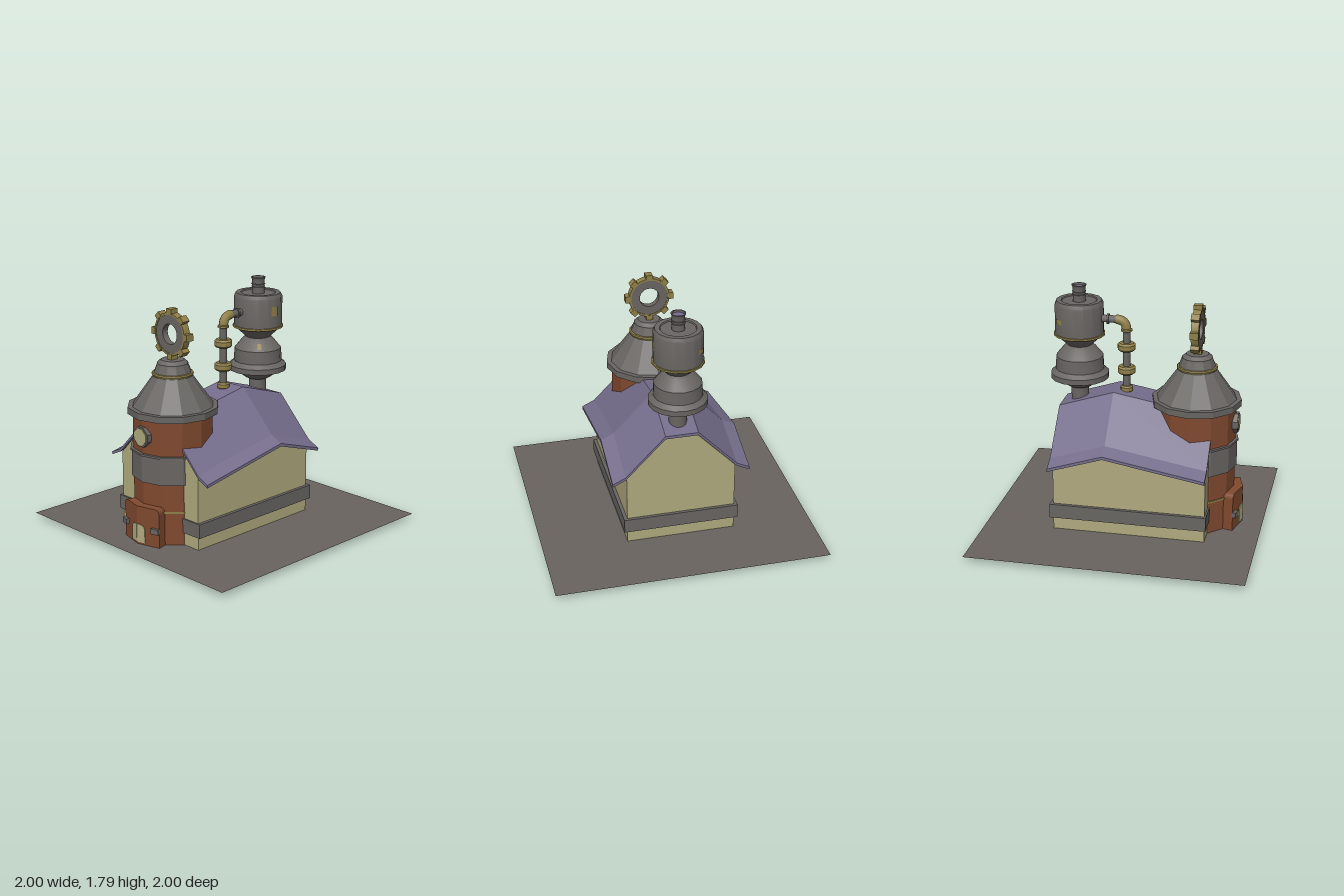
import * as THREE from 'three';
import { toCreasedNormals } from 'three/addons/utils/BufferGeometryUtils.js';

const mat = (name, color, side = THREE.DoubleSide) => new THREE.MeshStandardMaterial({ name, color, side });

export function createModel() {
  const root = new THREE.Group();
  root.name = 'workshopHouse';
  const cream = mat('cream plaster', 0xb0aa7e);
  const purple = mat('purple roof', 0x756d8b);
  const brown = mat('copper brown', 0x80492f);
  const grey = mat('iron grey', 0x686562);
  const gold = mat('brass', 0x8f7f48);
  const soil = mat('ground', 0x68635e);

  const add = (name, geo, m, x = 0, y = 0, z = 0, parent = root) => {
    const mesh = new THREE.Mesh(geo, m);
    mesh.name = name;
    mesh.position.set(x, y, z);
    parent.add(mesh);
    return mesh;
  };
  const box = (name, w, h, d, m, x, y, z, parent) => add(name, new THREE.BoxGeometry(w, h, d), m, x, y, z, parent);
  // turned part from [radius, height] points, with sharp edges kept
  const turn = (name, pts, sides, m, x, z, crease = 0.5, parent = root) => add(name,
    toCreasedNormals(new THREE.LatheGeometry(pts.map(p => new THREE.Vector2(...p)), sides), crease), m, x, 0, z, parent);
  // closed [x, y] section carried through stations [z, yDrop], capped at both ends;
  // points marked fixed do not drop
  const loft = (name, section, stations, m) => {
    const v = [];
    const at = (i, s) => {
      const [x, y, fixed] = section[i % section.length];
      return [x, y - (fixed ? 0 : s[1]), s[0]];
    };
    for (let k = 0; k + 1 < stations.length; k++) {
      const a = stations[k], b = stations[k + 1];
      section.forEach((_, i) => {
        const p = at(i, a), q = at(i + 1, a), r = at(i + 1, b), t = at(i, b);
        v.push(...p, ...q, ...r, ...p, ...r, ...t);
      });
    }
    const faces = THREE.ShapeUtils.triangulateShape(section.map(p => new THREE.Vector2(p[0], p[1])), []);
    const first = stations[0], last = stations[stations.length - 1];
    for (const [a, b, c] of faces) {
      v.push(...at(a, first), ...at(c, first), ...at(b, first));
      v.push(...at(a, last), ...at(b, last), ...at(c, last));
    }
    const g = new THREE.BufferGeometry();
    g.setAttribute('position', new THREE.Float32BufferAttribute(v, 3));
    g.computeVertexNormals();
    return add(name, g, m, -0.02);
  };

  // ground
  add('ground', new THREE.PlaneGeometry(2, 2).rotateX(-Math.PI / 2), soil, 0, 0.04, 0);

  // house: walls and roof both rise to a hump at z = -0.1
  loft('walls', [[-0.4, 0.04, true], [0.4, 0.04, true], [0.4, 0.71], [0.12, 1.0], [-0.12, 1.0], [-0.4, 0.71]],
    [[-0.49, 0.13], [-0.1, 0], [0.625, 0.13]], cream);
  const half = [[0.505, 0.685], [0.41, 0.73], [0.12, 1.03]];
  const top = [...half, ...half.map(([x, y]) => [-x, y]).reverse()];
  const under = [...top].reverse().map(([x, y]) => [x, y - 0.022]);
  loft('roof', [...top, ...under], [[-0.505, 0.13], [-0.1, 0], [0.635, 0.13]], purple);
  box('wallBand', 0.85, 0.105, 1.15, grey, -0.02, 0.188, 0.062);

  // tower
  const tx = -0.015, tz = 0.49, N = 12;
  [[-1, 1, brown], [1, 2, purple], [2, 3, cream], [3, 4, gold], [4, 5, brown]].forEach(([a, b, m]) => {
    const s = Math.PI / 3;
    add('towerFoot', new THREE.CylinderGeometry(0.29, 0.29, 0.04, 2 * (b - a), 1, false, a * s, (b - a) * s), m, tx, 0.02, tz);
  });
  turn('towerBody', [[0.29, 0.03], [0.29, 0.96]], N, brown, tx, tz);
  turn('towerBand', [[0.28, 0.49], [0.303, 0.49], [0.303, 0.685], [0.312, 0.685], [0.312, 0.7], [0.28, 0.7]], N, grey, tx, tz, 0.4);
  turn('towerTrim', [[0.28, 0.278], [0.298, 0.278], [0.298, 0.292], [0.28, 0.292]], N, gold, tx, tz);
  turn('towerRoof', [[0.28, 0.952], [0.327, 0.952], [0.327, 1.0], [0.292, 1.0], [0.14, 1.215], [0.135, 1.24],
    [0.115, 1.29], [0.112, 1.305], [0.083, 1.33], [0, 1.33]], N, grey, tx, tz, 0.4);
  turn('towerRoofRing', [[0.125, 1.215], [0.145, 1.218], [0.149, 1.23], [0.145, 1.24], [0.125, 1.243]], 16, gold, tx, tz);

  // window on the tower front
  const pane = (r, c, depth) => new THREE.ExtrudeGeometry(new THREE.Shape(
    [[c, -r], [r, -c], [r, c], [c, r], [-c, r], [-r, c], [-r, -c], [-c, -r]].map(p => new THREE.Vector2(...p))),
  { depth, bevelEnabled: false });
  add('windowFrame', pane(0.072, 0.026, 0.06), grey, tx, 0.825, 0.74);
  add('windowPane', pane(0.06, 0.022, 0.006), cream, tx, 0.825, 0.799);

  // gear above the tower
  const gear = new THREE.Group();
  gear.name = 'gear';
  gear.position.set(tx, 1.512, tz);
  root.add(gear);
  const ring = (ri, ro, d) => {
    const g = new THREE.LatheGeometry([[ri, -d], [ro, -d], [ro, d], [ri, d], [ri, -d]].map(p => new THREE.Vector2(...p)), 24);
    return toCreasedNormals(g, 0.5).rotateX(Math.PI / 2);
  };
  add('gearFace', ring(0.073, 0.142, 0.024), grey, 0, 0, 0, gear);
  add('gearRim', ring(0.138, 0.153, 0.028), gold, 0, 0, 0, gear);
  for (let i = 0; i < 8; i++) {
    const a = i * Math.PI / 4;
    const tooth = box('gearTooth', 0.05, 0.038, 0.062, gold, 0.162 * Math.sin(a), 0.162 * Math.cos(a), 0, gear);
    tooth.rotation.z = -a;
  }

  // entrance: two mirrored leaves meeting in a shallow point at the front
  const leaf = (w, h, r, depth) => {
    const s = new THREE.Shape();
    s.moveTo(0, 0).lineTo(w, 0).lineTo(w, h - r).quadraticCurveTo(w, h, w - r, h).lineTo(0, h).closePath();
    return new THREE.ExtrudeGeometry(s, { depth, bevelEnabled: false, curveSegments: 5 }).translate(0, 0, -depth);
  };
  for (const side of [1, -1]) {
    const g = new THREE.Group();
    g.name = side > 0 ? 'entranceLeft' : 'entranceRight';
    g.position.set(tx, 0, 0.845);
    g.scale.x = side;
    root.add(g);
    const h = new THREE.Group();
    h.name = 'entranceHalf';
    h.rotation.y = 0.26;
    g.add(h);
    add('porch', leaf(0.186, 0.325, 0.04, 0.11), brown, 0, 0, 0, h);
    add('doorway', leaf(0.066, 0.135, 0.045, 0.01), cream, 0, 0.055, 0.006, h);
    box('bracket', 0.06, 0.04, 0.03, grey, 0.158, 0.165, 0.008, h);
    box('step', 0.19, 0.04, 0.1, grey, 0.095, 0.02, 0.005, h);
    box('stepEdge', 0.186, 0.024, 0.006, gold, 0.094, 0.02, 0.056, h);
  }

  // boiler chimney
  const cx = -0.02, cz = -0.375, S = 16;
  turn('boiler', [[0.065, 0.85], [0.065, 1.025], [0.085, 1.03], [0.17, 1.09], [0.213, 1.095], [0.213, 1.135], [0.178, 1.165],
    [0.173, 1.26], [0.115, 1.33], [0.09, 1.345], [0.17, 1.42], [0.178, 1.43], [0.178, 1.65], [0.165, 1.678],
    [0.13, 1.678], [0.125, 1.67], [0.048, 1.67]], S, grey, cx, cz);
  turn('boilerTrim', [[0.17, 1.418], [0.187, 1.42], [0.187, 1.434], [0.17, 1.436]], S, gold, cx, cz);
  turn('chimneyPipe', [[0.046, 1.66], [0.046, 1.77], [0.054, 1.79], [0.045, 1.79], [0.04, 1.76]], S, grey, cx, cz);
  for (const y of [1.72, 1.74]) turn('chimneyHoop', [[0.04, y - 0.004], [0.052, y], [0.04, y + 0.004]], S, grey, cx, cz);
  add('chimneyOpening', new THREE.CircleGeometry(0.045, S).rotateX(-Math.PI / 2), purple, cx, 1.775, cz);
  // brass patches: [angle, arc, y, height, radius below, radius above]
  [[1.35, 0.32, 1.56, 0.07, 0.181, 0.181], [-2.5, 0.36, 1.54, 0.035, 0.181, 0.181], [0.75, 0.2, 1.295, 0.035, 0.161, 0.132]]
    .forEach(([a, arc, y, h, rb, rt]) => add('brassPatch',
      new THREE.CylinderGeometry(rt, rb, h, 3, 1, true, a, arc), gold, cx, y, cz));

  // steam pipe from boiler to roof
  const px = -0.03, pz = -0.025;
  const V = (y, z) => new THREE.Vector3(px, y, z);
  const tube = (name, a, b, r, m) => add(name, new THREE.TubeGeometry(new THREE.LineCurve3(a, b), 1, r, 10), m);
  tube('pipeAcross', V(1.55, -0.22), V(1.55, -0.09), 0.028, grey);
  tube('pipeDown', V(1.5, pz), V(0.96, pz), 0.028, grey);
  add('pipeElbow', new THREE.TubeGeometry(new THREE.QuadraticBezierCurve3(V(1.55, -0.1), V(1.55, pz), V(1.475, pz)), 6, 0.034, 10), gold);
  add('pipeFlange', new THREE.CylinderGeometry(0.038, 0.038, 0.014, 12).rotateX(Math.PI / 2), grey, px, 1.55, -0.16);
  const collar = (y, r, h) => turn('pipeCollar', [[0.026, y - h], [r * 0.8, y - h], [r, y - h * 0.55], [r, y + h * 0.55],
    [r * 0.8, y + h], [0.026, y + h]], 12, gold, px, pz);
  collar(1.35, 0.066, 0.03);
  collar(1.175, 0.066, 0.03);
  collar(1.03, 0.045, 0.025);
  collar(1.475, 0.042, 0.012);
  return root;
}
